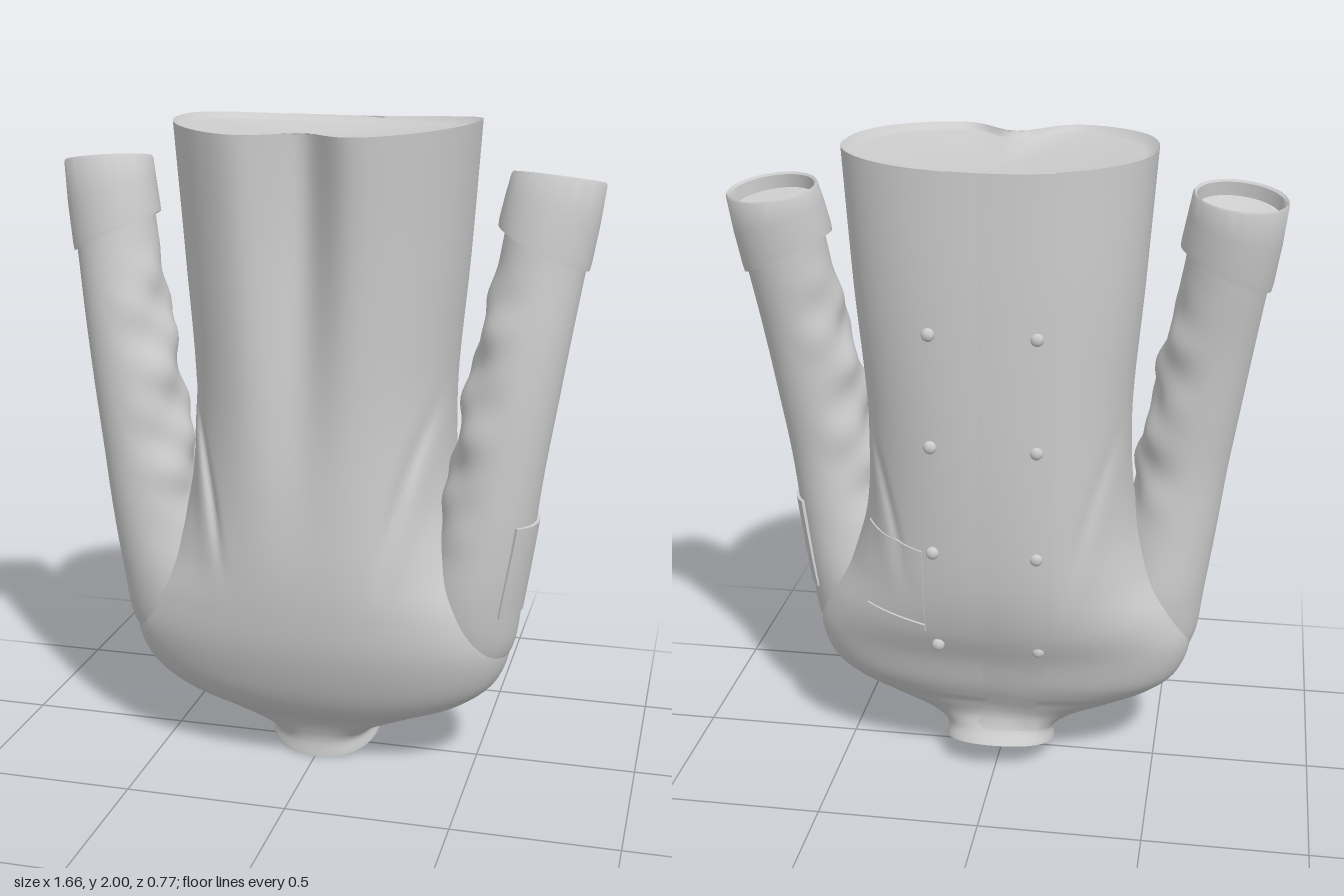
import * as THREE from 'three';
import { toCreasedNormals } from 'three/addons/utils/BufferGeometryUtils.js';

const material = new THREE.MeshStandardMaterial({ color: 0xcccccc, side: THREE.DoubleSide });
const { smoothstep, lerp, clamp } = THREE.MathUtils;
const TAU = Math.PI * 2;
const spow = (v, p) => Math.sign(v) * Math.abs(v) ** p;
const bell = (v, width) => Math.exp(-((v / width) ** 2));

// Smooth curve through three columns of a section table
const columns = (table, a, b, c) => new THREE.CatmullRomCurve3(
  table.map(r => new THREE.Vector3(r[a], r[b], r[c])), false, 'catmullrom', 0.5);

// Body sections: y at the front, half width, tilt, front z, back z, z of widest point
const bodyTable = [
  [0, 0.175, 0.3, 0.14, -0.2, -0.03],
  [0.05, 0.175, 0.3, 0.138, -0.17, -0.02],
  [0.09, 0.24, 0.31, 0.15, -0.155, 0],
  [0.14, 0.37, 0.27, 0.18, -0.17, 0.02],
  [0.2, 0.49, 0.18, 0.235, -0.195, 0.05],
  [0.29, 0.572, 0.08, 0.285, -0.22, 0.06],
  [0.42, 0.605, 0.02, 0.33, -0.255, 0.065],
  [0.55, 0.565, 0, 0.352, -0.31, 0.06],
  [0.7, 0.475, 0, 0.365, -0.35, 0.035],
  [0.9, 0.415, 0, 0.37, -0.37, 0],
  [1.2, 0.4, 0, 0.375, -0.38, -0.03],
  [1.6, 0.43, 0, 0.395, -0.378, -0.05],
  [2, 0.457, 0, 0.43, -0.365, -0.05],
];
const bodyA = columns(bodyTable, 0, 1, 2);
const bodyB = columns(bodyTable, 3, 4, 5);

function bodyPoint(t, angle) {
  const { x: y0, y: w, z: tilt } = bodyA.getPoint(t);
  const { x: zf, y: zb, z: zc } = bodyB.getPoint(t);
  const c = Math.cos(angle), s = Math.sin(angle);
  const x = w * spow(c, 0.9);
  let z = zc + (s > 0 ? zf - zc : zc - zb) * spow(s, s > 0 ? 0.93 : 0.85);
  let y = y0 + tilt * (zf - z);
  // centre pleat
  if (s > 0) z -= 0.16 * smoothstep(y, 0.5, 2.1) ** 1.1 * s * bell(x, 0.11);
  // curved fold running in from each armhole, softer at the back
  const q = y - 0.65;
  const along = smoothstep(y, 0.6, 0.95) * (1 - smoothstep(y, 1.05, 1.28));
  const across = Math.abs(x) - (0.24 + 0.12 * q + 0.24 * q * q);
  const fold = 0.012 * bell(across - 0.045, 0.035) - 0.02 * bell(across, 0.016);
  z += clamp(s * 4, -0.5, 1) * along * fold;
  y -= 0.02 * s * s * smoothstep(y, 1.7, 2);
  return new THREE.Vector3(x, y, z);
}

// Point on the buttoned side by x and height
function buttonSide(x, y) {
  const at = t => {
    const r = clamp(x / bodyA.getPoint(t).y, -0.95, 0.95);
    return bodyPoint(t, -Math.acos(spow(r, 1 / 0.9)));
  };
  let lo = 0, hi = 1;
  for (let i = 0; i < 24; i++) {
    const mid = (lo + hi) / 2;
    if (at(mid).y < y) lo = mid; else hi = mid;
  }
  return at(lo);
}

// Sleeve sections: y, centre x, centre z, radius x, radius z
const sleeveTable = [
  [0.32, 0.415, 0.06, 0.13, 0.11],
  [0.44, 0.455, 0.07, 0.16, 0.15],
  [0.6, 0.485, 0.075, 0.155, 0.17],
  [0.8, 0.525, 0.083, 0.143, 0.158],
  [1.0, 0.555, 0.083, 0.138, 0.145],
  [1.2, 0.587, 0.07, 0.136, 0.14],
  [1.4, 0.622, 0.05, 0.131, 0.133],
  [1.6, 0.658, 0.02, 0.126, 0.126],
  [1.75, 0.682, 0, 0.128, 0.122],
  [1.9, 0.7, -0.02, 0.13, 0.112],
];
const sleeveA = columns(sleeveTable, 0, 1, 2);
const sleeveB = columns(sleeveTable, 0, 3, 4);

function sleevePoint(side, t, angle, grow = 0, slant = -0.12) {
  const { x: y, y: cx, z: cz } = sleeveA.getPoint(t);
  const { y: rx, z: rz } = sleeveB.getPoint(t);
  const c = Math.cos(angle), s = Math.sin(angle);
  // cloth wrinkles bunch on the inner side
  const mask = smoothstep(y, 0.6, 1) * (1 - smoothstep(y, 1.4, 1.65)) * Math.max(0, 0.1 - c);
  const k = 1 + grow + mask * (0.06 * Math.sin(y * 21 + s * 3 + side) + 0.035 * Math.sin(y * 39 - s * 4));
  return new THREE.Vector3(side * (cx + rx * c * k), y + slant * rx * c, cz + rz * s * k);
}

// Surface from a rule f(u, v); wrapped around u when closed
function grid(f, nu, nv, closed = false) {
  const pos = [], index = [], cols = closed ? nu : nu + 1;
  for (let j = 0; j <= nv; j++)
    for (let i = 0; i < cols; i++) pos.push(...f(i / nu, j / nv).toArray());
  for (let j = 0; j < nv; j++)
    for (let i = 0; i < nu; i++) {
      const a = j * cols + i, b = j * cols + (i + 1) % cols;
      index.push(a, a + cols, b, b, a + cols, b + cols);
    }
  const g = new THREE.BufferGeometry();
  g.setAttribute('position', new THREE.Float32BufferAttribute(pos, 3));
  g.setIndex(index);
  g.computeVertexNormals();
  return g;
}

// Outward normal of a rule surface
function normalAt(f, u, v, e = 0.004) {
  const du = f(u + e, v).sub(f(u - e, v)), dv = f(u, v + e).sub(f(u, v - e));
  const n = du.cross(dv).normalize(), p = f(u, v);
  const axisX = Math.abs(p.x) > 0.45 ? Math.sign(p.x) * 0.5 : 0;
  return n.dot(new THREE.Vector3(p.x - axisX, 0, p.z)) < 0 ? n.negate() : n;
}

// Thin cloth layer lying on a rule surface, with its edges turned down
function layer(f, nu, nv, thickness) {
  const step = (v, n) => clamp((Math.round(v * (n + 2)) - 1) / n, 0, 1);
  return toCreasedNormals(grid((u, v) => {
    const edge = u === 0 || u === 1 || v === 0 || v === 1;
    const a = step(u, nu), b = step(v, nv);
    return f(a, b).addScaledVector(normalAt(f, a, b), edge ? -0.006 : thickness(a, b));
  }, nu + 2, nv + 2), 0.7);
}

export function createModel() {
  const group = new THREE.Group();
  const add = (name, geometry) => {
    const mesh = new THREE.Mesh(geometry, material);
    mesh.name = name;
    group.add(mesh);
    return mesh;
  };

  // Coat body, hem at the top and neck at the bottom
  add('coatBody', grid((u, v) => bodyPoint(v, -u * TAU), 180, 130, true));

  // Slightly dished closure just inside the hem
  const hemCentre = new THREE.Vector3(0, 1.985, -0.04);
  add('hemClosure', grid((u, v) => {
    const p = bodyPoint(1, u * TAU).lerp(hemCentre, v);
    p.y -= 0.015 * smoothstep(v, 0.01, 0.04) + 0.035 * v * (2 - v);
    return p;
  }, 120, 24, true));

  // Flat neck closure
  const neckCentre = new THREE.Vector3(0, 0.051, -0.03);
  add('neckClosure', grid((u, v) => bodyPoint(0, -u * TAU).lerp(neckCentre, 1 - v), 64, 2, true));

  // Overlapping button panel, thick at its free edge and fading into the body
  add('buttonPanel', layer((u, v) => {
    const y = lerp(0.14, 1.985, v);
    const x = lerp(lerp(-0.12, -0.2, smoothstep(y, 0.15, 0.6)), 0.1, u);
    return buttonSide(x, y);
  }, 10, 50, u => lerp(0.012, -0.005, u)));

  // Two columns of buttons
  const buttonGeometry = new THREE.SphereGeometry(0.02, 14, 10).scale(1, 1, 0.7);
  for (const y of [0.5, 0.84, 1.18, 1.52])
    for (const x of [-0.155, 0.155]) {
      const button = add('button', buttonGeometry);
      button.position.copy(buttonSide(x, y));
      button.position.z -= 0.006;
    }

  // Chest pocket with its welt
  const pocketArea = (y0, y1) => (u, v) => buttonSide(lerp(0.19, 0.38, u), lerp(y0, y1, v) + 0.03 * (u - 0.5));
  add('chestPocket', layer(pocketArea(0.57, 0.85), 10, 12, () => 0.005));
  add('pocketWelt', layer(pocketArea(0.565, 0.595), 10, 3, () => 0.011));

  for (const side of [1, -1]) {
    const label = side > 0 ? 'left' : 'right';
    add(label + 'Sleeve', grid((u, v) => sleevePoint(side, v * 0.93, u * TAU), 56, 90, true));

    // Turned cuff: lower lip, outer wall, rim, inner wall
    const cuffRows = [[0.79, 0.0, 1], [0.785, 0.07, 1], [0.8, 0.08, 1], [0.88, 0.075, 0.6], [0.955, 0.07, 0],
      [0.96, 0.04, 0], [0.955, -0.02, 0], [0.925, -0.05, 0]];
    const cuffPoint = (row, angle) => {
      const [t, grow, slanted] = cuffRows[row];
      const p = sleevePoint(side, t, angle, grow, lerp(-0.1, -0.5, slanted));
      p.y += 0.035 * slanted + (0.02 * Math.sin(angle) + (side < 0 ? 0.02 : 0)) * (1 - slanted);
      return p;
    };
    add(label + 'Cuff', toCreasedNormals(
      grid((u, v) => cuffPoint(Math.round(v * 7), u * TAU), 48, 7, true), 0.7));
    const capCentre = sleevePoint(side, 0.925, 0, -1, 0);
    add(label + 'CuffClosure', grid((u, v) => cuffPoint(7, u * TAU).lerp(capCentre, v), 48, 1, true));
  }

  // Patch pocket on the outer side of the left sleeve
  add('sleevePatch', layer((u, v) =>
    sleevePoint(1, lerp(0.2, 0.362, v), lerp(-0.75, 0.85, u)), 14, 14, (u, v) => lerp(0.006, 0.01, v)));

  return group;
}
